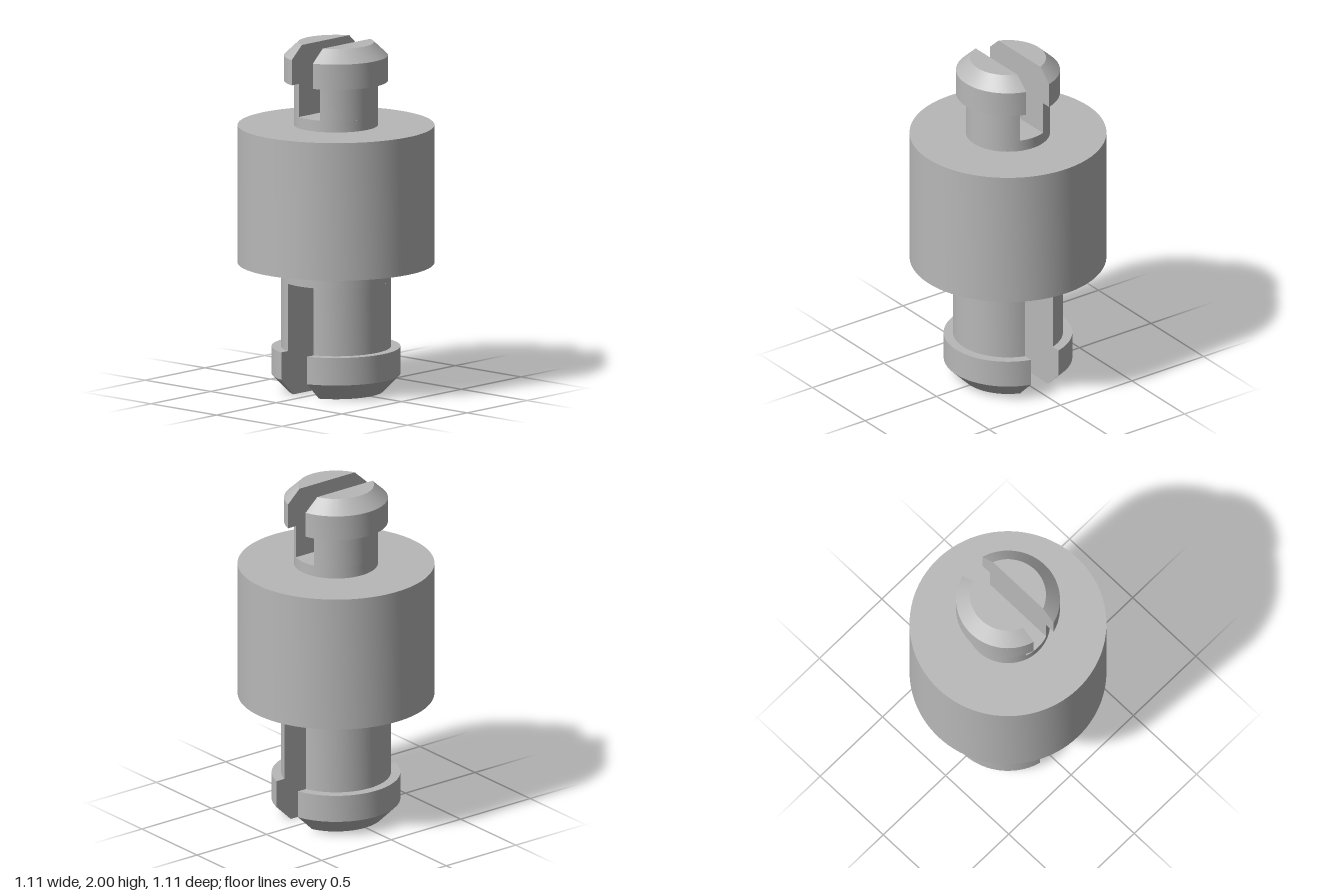
import * as THREE from 'three';
import { toCreasedNormals } from 'three/addons/utils/BufferGeometryUtils.js';

const ARC = 40;
const CREASE = 0.5;

// Half of a slotted round post: circle segments with x >= h, stacked upwards.
// sections: [radius, y] from bottom to top; capTop / capBottom close the free end.
function prongGeometry(sections, h, capTop) {
  const rings = sections.map(([r, y]) => {
    const a0 = Math.acos(h / r);
    return Array.from({ length: ARC + 1 }, (_, i) => {
      const a = -a0 + (2 * a0 * i) / ARC;
      return [r * Math.cos(a), y, r * Math.sin(a)];
    });
  });
  const pos = [];
  const tri = (a, b, c) => pos.push(...a, ...b, ...c);
  for (let k = 0; k < rings.length - 1; k++) {
    const A = rings[k], B = rings[k + 1];
    const level = sections[k][1] === sections[k + 1][1];
    // the last step closes the loop with the flat slot wall
    for (let i = 0; i < (level ? ARC : ARC + 1); i++) {
      const j = (i + 1) % (ARC + 1);
      tri(A[i], B[i], B[j]);
      tri(A[i], B[j], A[j]);
    }
  }
  const cap = capTop ? rings[rings.length - 1] : rings[0];
  for (let i = 1; i < ARC; i++) {
    if (capTop) tri(cap[0], cap[i + 1], cap[i]);
    else tri(cap[0], cap[i], cap[i + 1]);
  }
  const g = new THREE.BufferGeometry();
  g.setAttribute('position', new THREE.Float32BufferAttribute(pos, 3));
  return toCreasedNormals(g, CREASE);
}

// Floor of the slot: the strip of a disc with |x| <= h
function slotFloorGeometry(r, h, y, up) {
  const a0 = Math.acos(h / r);
  const s = new THREE.Shape();
  s.absarc(0, 0, r, a0, Math.PI - a0, false);
  s.absarc(0, 0, r, Math.PI + a0, 2 * Math.PI - a0, false);
  const g = new THREE.ShapeGeometry(s, 16);
  g.rotateX(up ? -Math.PI / 2 : Math.PI / 2);
  g.translate(0, y, 0);
  return g;
}

export function createModel() {
  const group = new THREE.Group();
  group.name = 'snapInSpacer';
  const plastic = new THREE.MeshStandardMaterial({ color: 0xb8b8b8 });
  plastic.name = 'grey plastic';

  const add = (name, geometry, parent = group) => {
    const m = new THREE.Mesh(geometry, plastic);
    m.name = name;
    parent.add(m);
    return m;
  };

  // Collar with the short solid necks above and below it
  const outline = [
    [0.31, 0.64], [0.31, 0.735], [0.555, 0.735],
    [0.555, 1.525], [0.237, 1.525], [0.237, 1.59],
  ].map(([x, y]) => new THREE.Vector2(x, y));
  add('collar', toCreasedNormals(new THREE.LatheGeometry(outline, 96), CREASE));

  // Split snap posts, each a mirrored pair of barbed prongs
  const posts = [
    {
      name: 'upper', h: 0.08, r: 0.237, y: 1.59, up: true,
      sections: [[0.237, 1.59], [0.237, 1.78], [0.293, 1.78], [0.293, 1.925], [0.214, 2]],
    },
    {
      name: 'lower', h: 0.097, r: 0.31, y: 0.64, up: false,
      sections: [[0.267, 0], [0.363, 0.097], [0.363, 0.255], [0.31, 0.255], [0.31, 0.64]],
    },
  ];
  for (const p of posts) {
    const post = new THREE.Group();
    post.name = p.name + 'Post';
    group.add(post);
    const prong = prongGeometry(p.sections, p.h, p.up);
    add(p.name + 'LeftProng', prong, post);
    add(p.name + 'RightProng', prong, post).rotation.y = Math.PI;
    add(p.name + 'SlotFloor', slotFloorGeometry(p.r, p.h, p.y, p.up), post);
  }
  return group;
}
